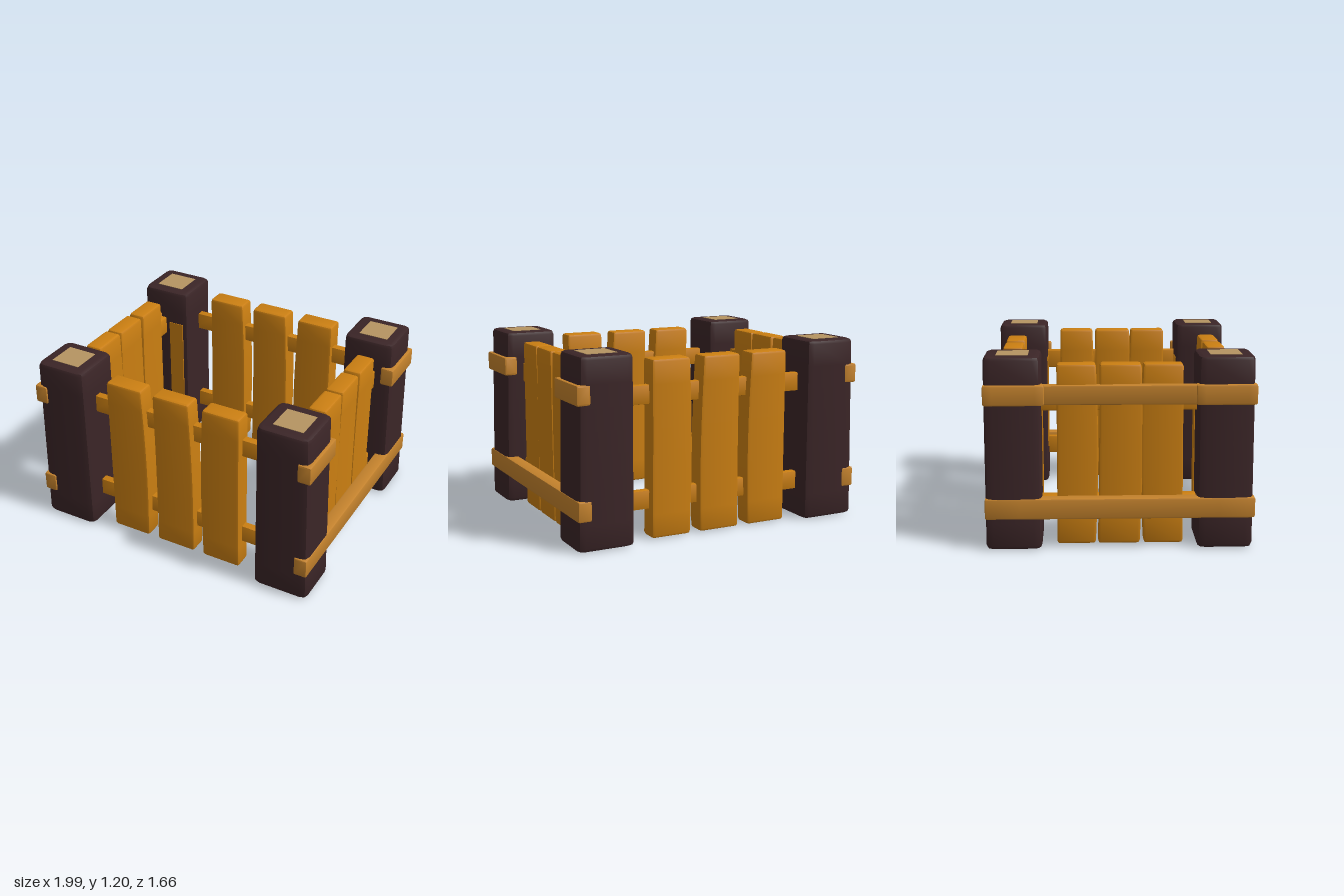
import * as THREE from 'three';
import { mergeVertices, toCreasedNormals } from 'three/addons/utils/BufferGeometryUtils.js';

const material = (name, color) => {
  const m = new THREE.MeshStandardMaterial({ color });
  m.name = name;
  return m;
};

// Beam along z, centred, with softened edges; bend(t) gives sideways shift and width scale for t in 0..1
function beamGeometry(w, h, length, bevel, bend) {
  const a = w / 2, b = h / 2, r = Math.min(w, h) * 0.14;
  const s = new THREE.Shape();
  s.moveTo(-a + r, -b);
  s.lineTo(a - r, -b);
  s.quadraticCurveTo(a, -b, a, -b + r);
  s.lineTo(a, b - r);
  s.quadraticCurveTo(a, b, a - r, b);
  s.lineTo(-a + r, b);
  s.quadraticCurveTo(-a, b, -a, b - r);
  s.lineTo(-a, -b + r);
  s.quadraticCurveTo(-a, -b, -a + r, -b);
  let g = new THREE.ExtrudeGeometry(s, {
    depth: length - 2 * bevel, steps: 8, curveSegments: 2,
    bevelEnabled: true, bevelThickness: bevel, bevelSize: bevel, bevelOffset: -bevel, bevelSegments: 2,
  });
  g.translate(0, 0, bevel - length / 2);
  if (bend) {
    const p = g.attributes.position;
    for (let i = 0; i < p.count; i++) {
      const { shift, scale } = bend(p.getZ(i) / length + 0.5);
      p.setX(i, p.getX(i) * scale + shift);
    }
  }
  g.deleteAttribute('uv');
  g.deleteAttribute('normal');
  g = mergeVertices(g, 1e-4);
  return toCreasedNormals(g, 0.7);
}

export function createModel() {
  const root = new THREE.Group();
  root.name = 'plankPen';
  const dark = material('dark bark', 0x3b2527);
  const plankWood = material('amber plank', 0xcb7f12);
  const railWood = material('rail wood', 0xc4822c);
  const grain = material('pale end grain', 0xb59462);

  const add = (parent, name, geometry, mat, x = 0, y = 0, z = 0) => {
    const m = new THREE.Mesh(geometry, mat);
    m.name = name;
    m.position.set(x, y, z);
    parent.add(m);
    return m;
  };

  // Corner posts, leaning in slightly on the outside, with pale end grain and inner strips
  for (const sx of [-1, 1]) for (const sz of [-1, 1]) {
    const post = new THREE.Group();
    post.name = 'cornerPost';
    const g = beamGeometry(0.38, 0.345, 1.194, 0.025, (t) => ({
      shift: sx * -0.013 * t, scale: 1 - 0.07 * t,
    }));
    g.rotateX(-Math.PI / 2);
    const cx = sx * 0.808, cz = sz * 0.65 - 0.004;
    add(post, 'post', g, dark, cx, 0.6, cz);
    const cap = new THREE.BoxGeometry(0.2, 0.008, 0.195);
    add(post, 'topEndGrain', cap, grain, sx * 0.8, 1.196, cz);
    add(post, 'bottomEndGrain', cap, grain, sx * 0.805, 0.004, cz);
    add(post, 'innerStrip', new THREE.BoxGeometry(0.11, 0.68, 0.008), plankWood,
      sx * 0.71, 0.61, cz - sz * 0.173);
    root.add(post);
  }

  // Each plank: centre along the fence, width, widening at mid height, narrowing at top, lean
  const planks = [
    [-0.357, 0.275, 0.05, 0.05, -0.008],
    [-0.008, 0.28, 0.03, 0.07, -0.012],
    [0.337, 0.27, 0.05, 0.03, 0.0],
  ];
  const sidePlanks = [
    [-0.27, 0.24, 0.06, 0.0, 0.004],
    [-0.005, 0.26, 0.04, 0.02, 0.01],
    [0.272, 0.245, 0.06, 0.0, -0.006],
  ];
  function fence(name, list, thickness) {
    const f = new THREE.Group();
    f.name = name;
    list.forEach(([x, w, swell, narrow, lean], i) => {
      const g = beamGeometry(w, thickness, 1.135, 0.018, (t) => ({
        shift: lean * t + 0.008 * Math.sin(Math.PI * t) * (i === 2 ? -1 : 1),
        scale: 1 + swell * Math.sin(Math.PI * t) - narrow * t,
      }));
      g.rotateX(-Math.PI / 2);
      add(f, 'plank', g, plankWood, x, 0.5725, 0);
    });
    root.add(f);
    return f;
  }
  fence('frontFence', planks, 0.125).position.z = 0.673;
  fence('backFence', planks, 0.135).position.z = -0.69;
  const left = fence('leftFence', sidePlanks, 0.125);
  left.position.x = 0.825;
  left.rotation.y = -Math.PI / 2;
  const right = fence('rightFence', sidePlanks, 0.12);
  right.position.x = -0.833;
  right.rotation.y = -Math.PI / 2;

  // Rails between two points
  function rail(name, from, to, w, h, mat) {
    const a = new THREE.Vector3(...from), b = new THREE.Vector3(...to);
    const m = add(root, name, beamGeometry(w, h, a.distanceTo(b), 0.012), mat);
    m.position.copy(a).add(b).multiplyScalar(0.5);
    m.lookAt(b);
  }

  // Front and back rails
  for (const z of [0.66, -0.68]) for (const y of [0.25, 0.917])
    rail('crossRail', [-0.66, y, z], [0.66, y, z], 0.055, 0.12, plankWood);

  // Inner side rails running through the planks
  for (const [x, w] of [[0.83, 0.06], [-0.835, 0.085]]) for (const y of [0.25, 0.917])
    rail('innerSideRail', [x, y, -0.52], [x, y, 0.52], w, 0.13, plankWood);

  // Outer side rails: full length below, short stubs above
  for (const sx of [-1, 1]) {
    rail('outerLowerRail', [sx * 0.952, 0.26, -0.83], [sx * 0.952, 0.26, 0.83], 0.09, 0.13, railWood);
    for (const sz of [-1, 1])
      rail('outerUpperStub', [sx * 0.952, 0.965, sz * 0.46], [sx * 0.952, 0.965, sz * 0.83], 0.09, 0.125, railWood);
  }

  // Slanted upper rail on the right side
  rail('slantedUpperRail', [-0.86, 0.95, -0.6], [-0.95, 0.965, 0.6], 0.075, 0.12, railWood);

  return root;
}
